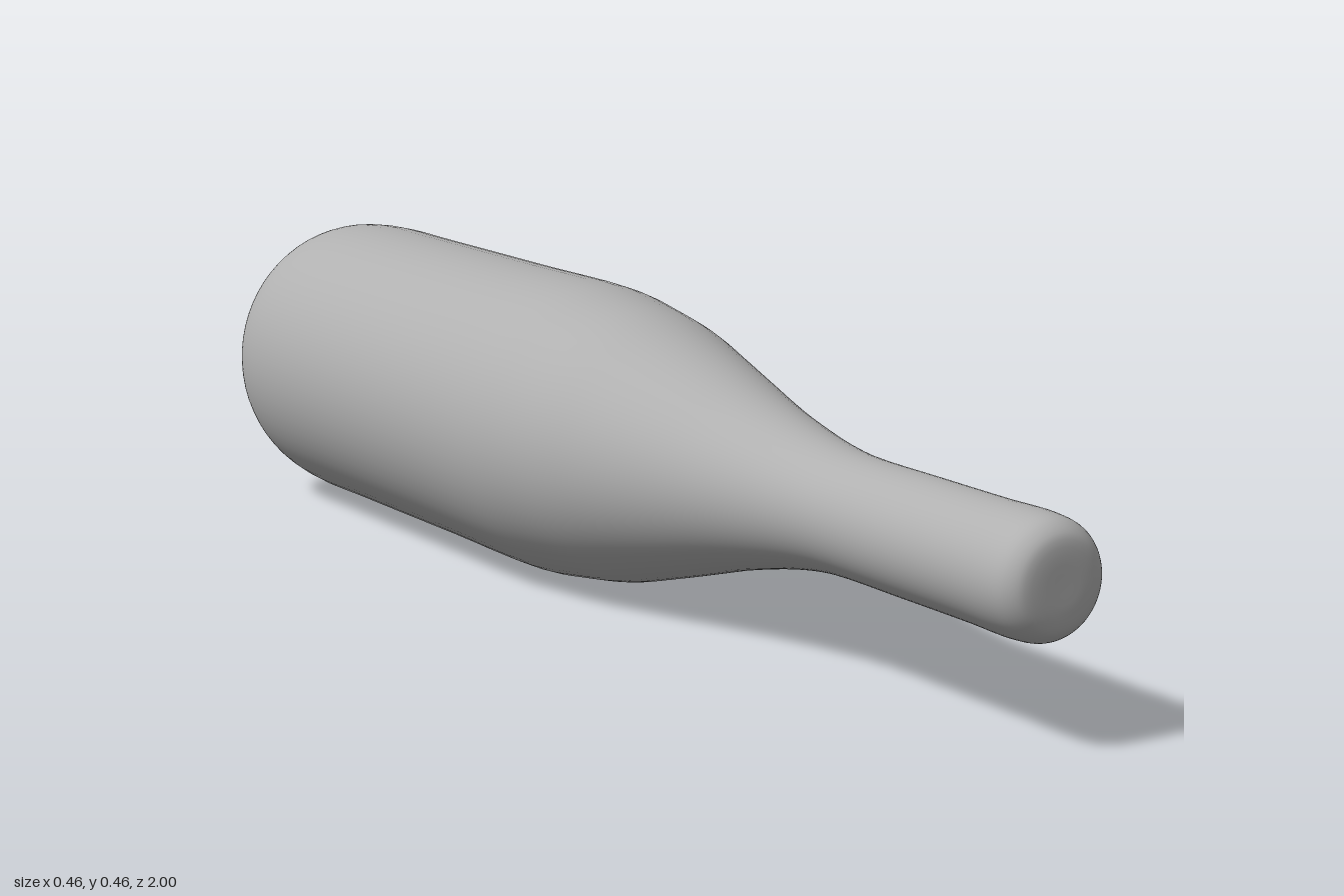
import * as THREE from 'three';

const glass = new THREE.MeshStandardMaterial({ color: 0xb0b0b0 });
glass.name = 'plain grey';

// Profile as [radius, position along the bottle], from the base dent to the mouth
const PROFILE = [
  [0, -0.925], [0.05, -0.93], [0.1, -0.95], [0.13, -0.98], [0.15, -0.992],
  [0.175, -0.986], [0.2, -0.965], [0.218, -0.93], [0.227, -0.87], [0.228, -0.7],
  [0.228, -0.4], [0.228, -0.16], [0.219, -0.08], [0.205, 0.01], [0.182, 0.1],
  [0.155, 0.2], [0.128, 0.3], [0.106, 0.4], [0.094, 0.47], [0.087, 0.54],
  [0.086, 0.7], [0.086, 0.85], [0.087, 0.94], [0.082, 0.975], [0.068, 0.993],
  [0.05, 0.999], [0, 1],
];

export function createModel() {
  const group = new THREE.Group();
  group.name = 'bottle';

  const curve = new THREE.CatmullRomCurve3(
    PROFILE.map(([r, z]) => new THREE.Vector3(r, z, 0)), false, 'centripetal');
  const points = curve.getPoints(104).map((p) => new THREE.Vector2(Math.max(p.x, 0), p.y));
  const geometry = new THREE.LatheGeometry(points, 64);
  geometry.rotateX(Math.PI / 2); // lay it down, mouth towards the front

  // Tilt the base slightly and raise the neck a touch
  const pos = geometry.attributes.position;
  for (let i = 0; i < pos.count; i++) {
    const y = pos.getY(i);
    const z = pos.getZ(i);
    const base = THREE.MathUtils.smoothstep(-z, 0.8, 0.98);
    const neck = THREE.MathUtils.smoothstep(z, 0, 0.5);
    pos.setZ(i, z - base * y * 0.045);
    pos.setY(i, y + 0.229 + neck * 0.005);
  }

  const body = new THREE.Mesh(geometry, glass);
  body.name = 'bottleBody';
  group.add(body);
  return group;
}
